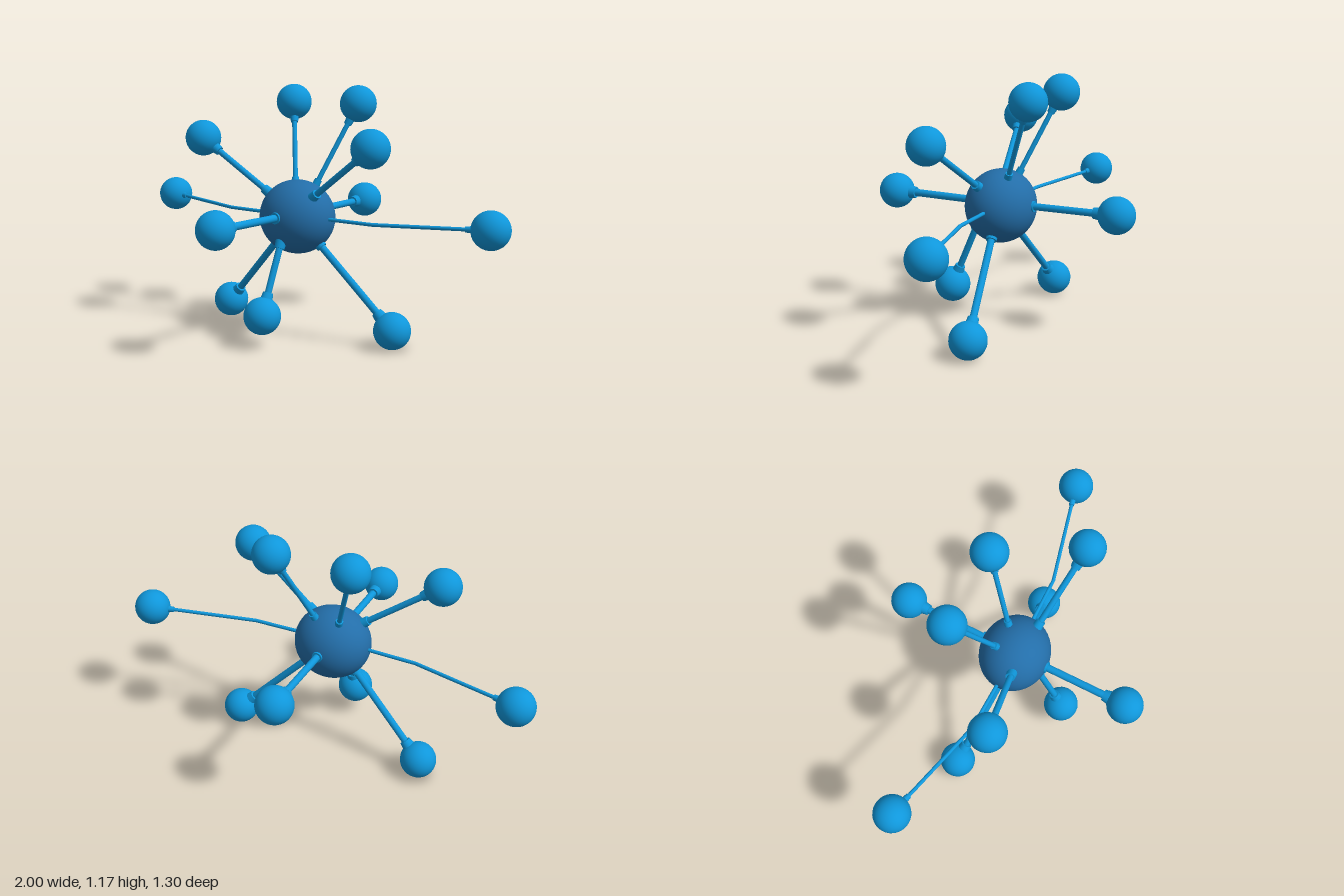
import * as THREE from 'three';

const coreBlue = new THREE.MeshStandardMaterial({ color: 0x236ea9 });
coreBlue.name = 'core blue';
const brightBlue = new THREE.MeshStandardMaterial({ color: 0x0f97db });
brightBlue.name = 'bright blue';

const BALL = 0.085;
const UP = new THREE.Vector3(0, 1, 0);
const V = (p) => new THREE.Vector3(...p);

// Tapered round bar from a to b
function bar(name, a, b, ra, rb) {
  const dir = b.clone().sub(a);
  const mesh = new THREE.Mesh(new THREE.CylinderGeometry(rb, ra, dir.length(), 16), brightBlue);
  mesh.name = name;
  mesh.position.copy(a).add(b).multiplyScalar(0.5);
  mesh.quaternion.setFromUnitVectors(UP, dir.normalize());
  return mesh;
}

// One arm: rod through the path points, collars at both ends, ball on the tip
function arm(name, path, r, nub) {
  const group = new THREE.Group();
  group.name = name;
  const pts = path.map(V);
  const tip = pts[pts.length - 1];

  for (let i = 1; i < pts.length; i++) {
    group.add(bar('rod', pts[i - 1], pts[i], r, r));
    if (i < pts.length - 1) {
      const joint = new THREE.Mesh(new THREE.SphereGeometry(r, 12, 8), brightBlue);
      joint.name = 'rodBend';
      joint.position.copy(pts[i]);
      group.add(joint);
    }
  }

  // Collar beside the ball
  const inward = pts[pts.length - 2].clone().sub(tip).normalize();
  const along = (d) => tip.clone().addScaledVector(inward, d);
  group.add(bar('ballCollar', along(0.07), along(0.108), r * 1.9, r * 1.5));

  // Collar on the core
  if (nub) {
    const out = pts[1].clone().sub(pts[0]).normalize();
    const at = (d) => pts[0].clone().addScaledVector(out, d);
    group.add(bar('coreCollar', at(-0.03), at(nub), r * 1.75, r * 1.5));
  }

  const ball = new THREE.Mesh(new THREE.SphereGeometry(BALL, 32, 20), brightBlue);
  ball.name = 'ball';
  ball.position.copy(tip);
  group.add(ball);
  return group;
}

export function createModel() {
  const model = new THREE.Group();
  model.name = 'ballCluster';

  // Slightly squashed central body
  const core = new THREE.Mesh(new THREE.SphereGeometry(1, 48, 32), coreBlue);
  core.name = 'core';
  core.scale.set(0.182, 0.172, 0.165);
  core.position.y = 0.572;
  model.add(core);

  // Arms in mirrored pairs
  for (const [side, s] of [['left', 1], ['right', -1]]) {
    model.add(
      arm(side + 'TopArm', [[s * 0.06, 0.72, -0.064], [s * 0.187, 1.089, -0.218]], 0.0115, 0.025),
      arm(side + 'UpperArm', [[s * 0.137, 0.685, 0.052], [s * 0.476, 0.921, 0.118]], 0.0145, 0.02),
      arm(side + 'LowerArm', [[s * 0.122, 0.45, -0.012], [s * 0.478, 0.09, -0.073]], 0.0165, 0.015),
      arm(side + 'SideArm', [[s * 0.16, 0.575, 0], [s * 0.41, 0.575, -0.005], [s * 0.915, 0.587, -0.132]], 0.0085, 0),
    );
  }

  // Arms on the centre plane
  model.add(
    arm('frontArm', [[0, 0.584, 0.155], [0, 0.587, 0.563]], 0.0175, 0.015),
    arm('backArm', [[0, 0.584, -0.155], [0, 0.587, -0.563]], 0.0165, 0.015),
    arm('bottomArm', [[0, 0.46, 0.127], [0, 0.152, 0.26]], 0.0155, 0.02),
  );
  return model;
}
